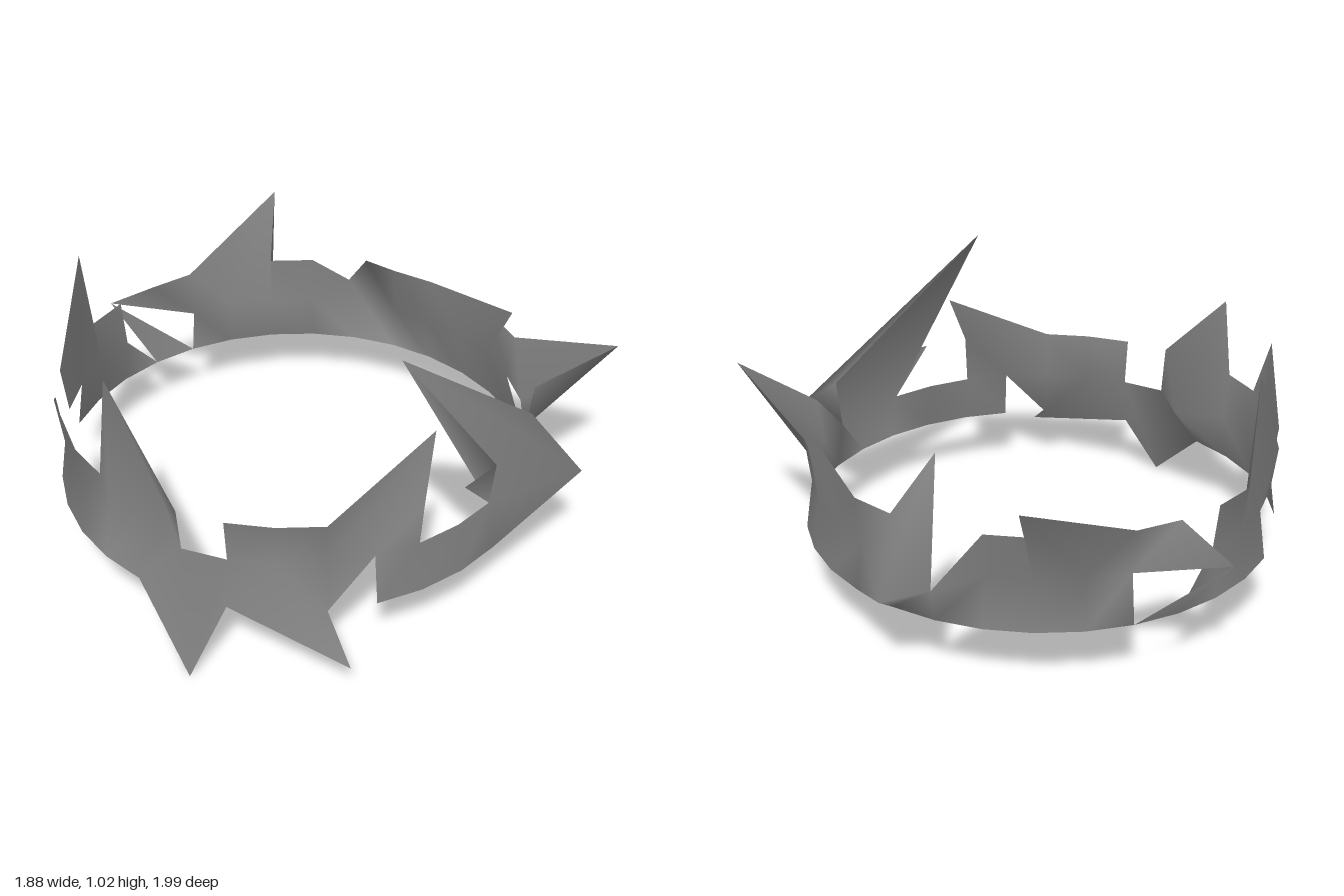
import * as THREE from 'three';

const COLS = 32;                       // columns around the ring, 0 = front, +8 = left (+x)
const ROWS = [                         // height and radius of the three rings of points
  { y: 0.228, r: 0.815 },
  { y: 0.40, r: 0.79 },
  { y: 0.56, r: 0.81 },
];
const CENTRE = { x: -0.13, z: 0.013 };

// Points pulled out of the ring into spikes: [row, column, x, y, z]
const SPIKES = [
  [0, -3, -0.57, 0.00, 0.82], [0, -1, -0.08, 0.13, 0.99],
  [2, -4, -0.77, 0.87, 0.40], [1, -4, -0.61, 0.41, 0.45],
  [2, -7, -0.93, 0.75, 0.31], [2, -10, -0.83, 0.90, -0.33],
  [2, -15, -0.09, 0.745, -1.0], [1, -13, -0.74, 0.45, -0.75],
  [2, 1, 0.23, 0.76, 0.65], [2, 5, 0.12, 1.02, 0.64],
  [1, 5, 0.76, 0.42, 0.47], [2, 8, 0.94, 0.70, 0.17],
  [2, 11, 0.66, 0.64, -0.18], [2, 14, 0.19, 0.70, -0.51],
  [1, 13, 0.35, 0.31, -0.78], [1, 14, 0.18, 0.41, -0.87],
];

// Panels from column -16 to 15. F: whole, G: whole with the other diagonal, .: broken away,
// digit: triangle lacking that corner (0 lower start, 1 lower end, 2 upper end, 3 upper start)
const PANELS = [
  'FF33FF..FFFFFFFG1FFFFFFF3FFFFFFF',
  'FFF.FFF.FFFFF.FFFF.0FF3FFFFFFF3F',
];

const id = (row, col) => row * COLS + ((col + COLS) % COLS);

function ringPoints() {
  const points = [];
  for (const { y, r } of ROWS) {
    for (let c = 0; c < COLS; c++) {
      const a = (c / COLS) * Math.PI * 2;
      points.push(new THREE.Vector3(CENTRE.x + r * Math.sin(a), y, CENTRE.z + r * Math.cos(a)));
    }
  }
  for (const [row, col, x, y, z] of SPIKES) points[id(row, col)].set(x, y, z);
  return points;
}

function panelFaces() {
  const index = [];
  PANELS.forEach((line, row) => {
    [...line].forEach((kind, k) => {
      const c = k - COLS / 2;
      const q = [id(row, c), id(row, c + 1), id(row + 1, c + 1), id(row + 1, c)];
      if (kind === 'F') index.push(q[0], q[1], q[2], q[0], q[2], q[3]);
      else if (kind === 'G') index.push(q[0], q[1], q[3], q[1], q[2], q[3]);
      else if (kind !== '.') index.push(...q.filter((_, n) => n !== Number(kind)));
    });
  });
  return index;
}

export function createModel() {
  const group = new THREE.Group();
  group.name = 'shatteredRing';

  const geometry = new THREE.BufferGeometry().setFromPoints(ringPoints());
  geometry.setIndex(panelFaces());
  geometry.computeVertexNormals();

  const band = new THREE.Mesh(
    geometry,
    new THREE.MeshStandardMaterial({ color: 0x808080, side: THREE.DoubleSide })
  );
  band.name = 'jaggedBand';
  group.add(band);
  return group;
}
